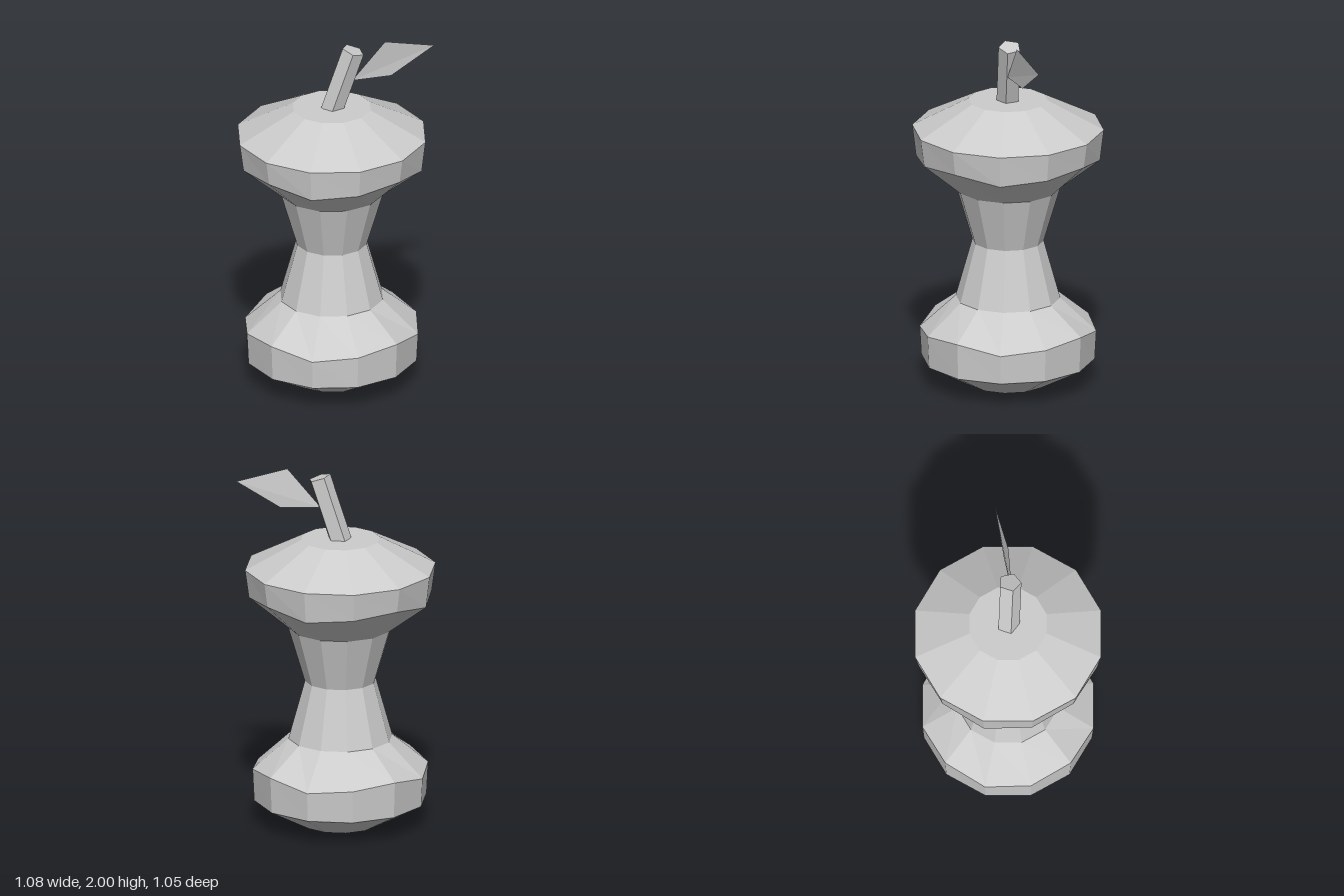
import * as THREE from 'three';

export function createModel() {
  const model = new THREE.Group();
  const grey = new THREE.MeshStandardMaterial({ color: 0xcccccc, flatShading: true });
  grey.name = 'light grey';
  grey.side = THREE.DoubleSide;

  const add = (name, geometry) => {
    const mesh = new THREE.Mesh(geometry, grey);
    mesh.name = name;
    model.add(mesh);
    return mesh;
  };

  // Eaten core: twelve-sided profile, with the two bitten rims wobbling in height
  const profile = [
    [0, 0], [0.217, 0], [0.473, 0.14], [0.482, 0.32], [0.285, 0.485], [0.195, 0.81],
    [0.285, 1.115], [0.502, 1.3], [0.523, 1.455], [0.217, 1.615], [0, 1.615],
  ].map(([r, y]) => new THREE.Vector2(r, y));
  const coreGeo = new THREE.LatheGeometry(profile, 12);
  const pos = coreGeo.attributes.position;
  for (let i = 0; i < pos.count; i++) {
    const ring = i % profile.length;
    if (ring !== 3 && ring !== 7) continue;
    const angle = Math.atan2(pos.getZ(i), pos.getX(i));
    pos.setY(i, pos.getY(i) - 0.023 * Math.sin(4 * angle));
  }
  add('core', coreGeo).position.x = -0.02;

  // Leaning five-sided stem
  const foot = new THREE.Vector3(-0.02, 1.6, 0);
  const tip = new THREE.Vector3(0.09, 1.955, 0.04);
  const lean = tip.clone().sub(foot);
  const stem = add('stem', new THREE.CylinderGeometry(0.063, 0.063, lean.length(), 5, 1, false, -Math.PI / 2));
  stem.position.copy(foot).add(tip).multiplyScalar(0.5);
  stem.quaternion.setFromUnitVectors(new THREE.Vector3(0, 1, 0), lean.normalize());

  // Flat four-cornered leaf
  const leafGeo = new THREE.BufferGeometry();
  leafGeo.setAttribute('position', new THREE.Float32BufferAttribute([
    0.08, 1.78, 0.05,
    0.3, 1.785, 0.062,
    0.54, 1.94, 0.077,
    0.26, 2.0, 0.078,
  ], 3));
  leafGeo.setIndex([0, 1, 2, 0, 2, 3]);
  leafGeo.computeVertexNormals();
  add('leaf', leafGeo);

  return model;
}
